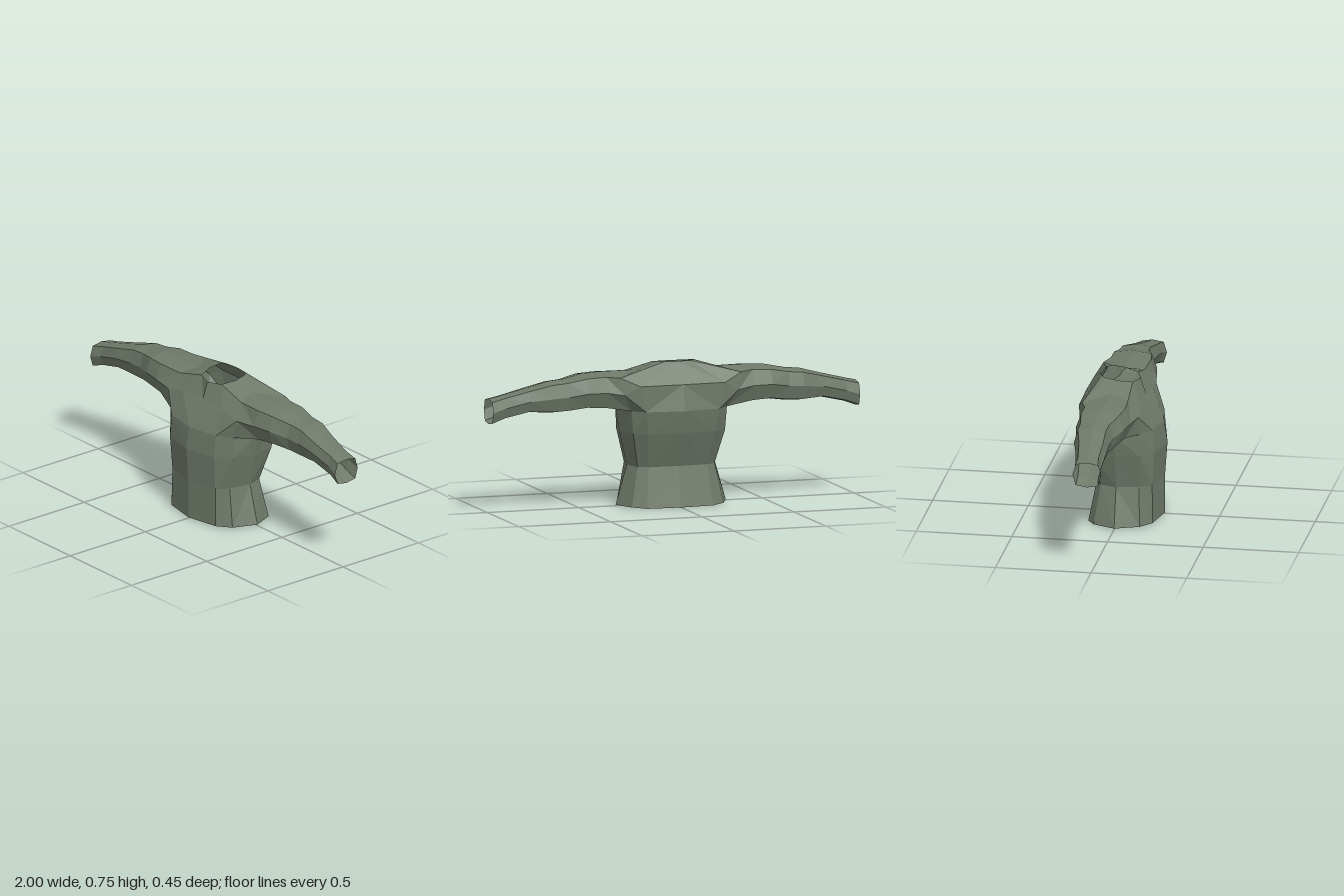
import * as THREE from 'three';

const cloth = new THREE.MeshStandardMaterial({ color: 0x6f7a6a, flatShading: true, side: THREE.DoubleSide });
cloth.name = 'grey green cloth';

// Join rows of points into triangles, optionally closing each row into a ring.
function skin(rows, closed = false) {
  const tris = [];
  for (let r = 0; r < rows.length - 1; r++) {
    const a = rows[r], b = rows[r + 1], n = a.length;
    for (let i = 0; i < (closed ? n : n - 1); i++) {
      const j = (i + 1) % n;
      tris.push([a[i], a[j], b[j]], [a[i], b[j], b[i]]);
    }
  }
  return tris;
}

const flip = (tris) => tris.map(([a, b, c]) => [a, c, b].map(([x, y, z]) => [-x, y, z]));

function part(name, tris) {
  const g = new THREE.BufferGeometry();
  g.setAttribute('position', new THREE.Float32BufferAttribute(tris.flat(2), 3));
  g.computeVertexNormals();
  const mesh = new THREE.Mesh(g, cloth);
  mesh.name = name;
  return mesh;
}

export function createModel() {
  const group = new THREE.Group();
  group.name = 'longSleeveShirt';

  // Torso: half rings from the front centre round the left side to the back centre, as [x, z]
  const torso = [
    [0.005, [[0, 0.215], [0.18, 0.18], [0.25, 0.125], [0.3, 0], [0.25, -0.115], [0.18, -0.155], [0, -0.168]]],
    [0.21, [[0, 0.215], [0.175, 0.178], [0.215, 0.115], [0.24, 0], [0.21, -0.085], [0.16, -0.115], [0, -0.125]]],
    [0.39, [[0, 0.228], [0.18, 0.19], [0.255, 0.125], [0.28, 0], [0.25, -0.135], [0.18, -0.175], [0, -0.195]]],
    [0.51, [[0, 0.21], [0.18, 0.18], [0.255, 0.125], [0.3, 0], [0.26, -0.135], [0.2, -0.195], [0, -0.225]]],
  ].map(([y, pts]) => pts.map(([x, z]) => [x, y, z]));
  torso[0][5][1] = torso[0][6][1] = 0;
  const torsoHalf = skin(torso);
  group.add(part('torso', [...torsoHalf, ...flip(torsoHalf)]));

  // Neckline, front to back
  const neck = [[0, 0.73, 0.088], [0.08, 0.734, 0.06], [0.105, 0.745, -0.01],
    [0.1, 0.755, -0.075], [0.07, 0.755, -0.105], [0, 0.755, -0.112]];
  // Chest, shoulder and upper back points
  const [c0, c1, c2, armpit, g2, g1, g0] = torso[3];
  const d0 = [0, 0.64, 0.118], d1 = [0.165, 0.635, 0.12], d2 = [0.28, 0.61, 0.122];
  const front = [0.25, 0.69, 0.065], top = [0.22, 0.71, -0.03];
  const h2 = [0.33, 0.69, -0.163], h1 = [0.23, 0.645, -0.195], h0 = [0, 0.645, -0.199];
  const back = [0.31, 0.6, -0.178];

  const yoke = [
    ...skin([[c0, c1, c2], [d0, d1, d2], [neck[0], neck[1], front]]),
    ...skin([[front, top, h2], [neck[1], neck[2], neck[3]]]),
    ...skin([[back, g1, g0], [h2, h1, h0], [neck[3], neck[4], neck[5]]]),
    [g2, g1, back],
  ];
  group.add(part('shouldersAndNeckline', [...yoke, ...flip(yoke)]));

  // Sleeve: eight-sided rings given as [x, top, bottom, front, back]
  const rings = [
    [0.4, 0.71, 0.52, 0.104, -0.166],
    [0.5, 0.705, 0.527, 0.088, -0.165],
    [0.6, 0.685, 0.515, 0.048, -0.146],
    [0.68, 0.678, 0.512, 0.042, -0.144],
    [0.8, 0.645, 0.52, 0.045, -0.115],
    [0.93, 0.612, 0.49, 0.041, -0.095],
    [1, 0.596, 0.464, 0.053, -0.097],
  ].map(([x, t, b, f, k]) => {
    const y = (t + b) / 2, h = (t - b) / 2, z = (f + k) / 2, w = (f - k) / 2;
    return [[0, 1], [0.78, 0.84], [1, 0], [0.78, -0.84], [0, -1], [-0.78, -0.84], [-1, 0], [-0.78, 0.84]]
      .map(([u, v]) => [x, y + v * h, z + u * w]);
  });
  const armhole = [top, front, d2, c2, armpit, g2, back, h2];
  const sleeve = skin([armhole, ...rings], true);
  group.add(part('leftSleeve', sleeve), part('rightSleeve', flip(sleeve)));

  return group;
}
